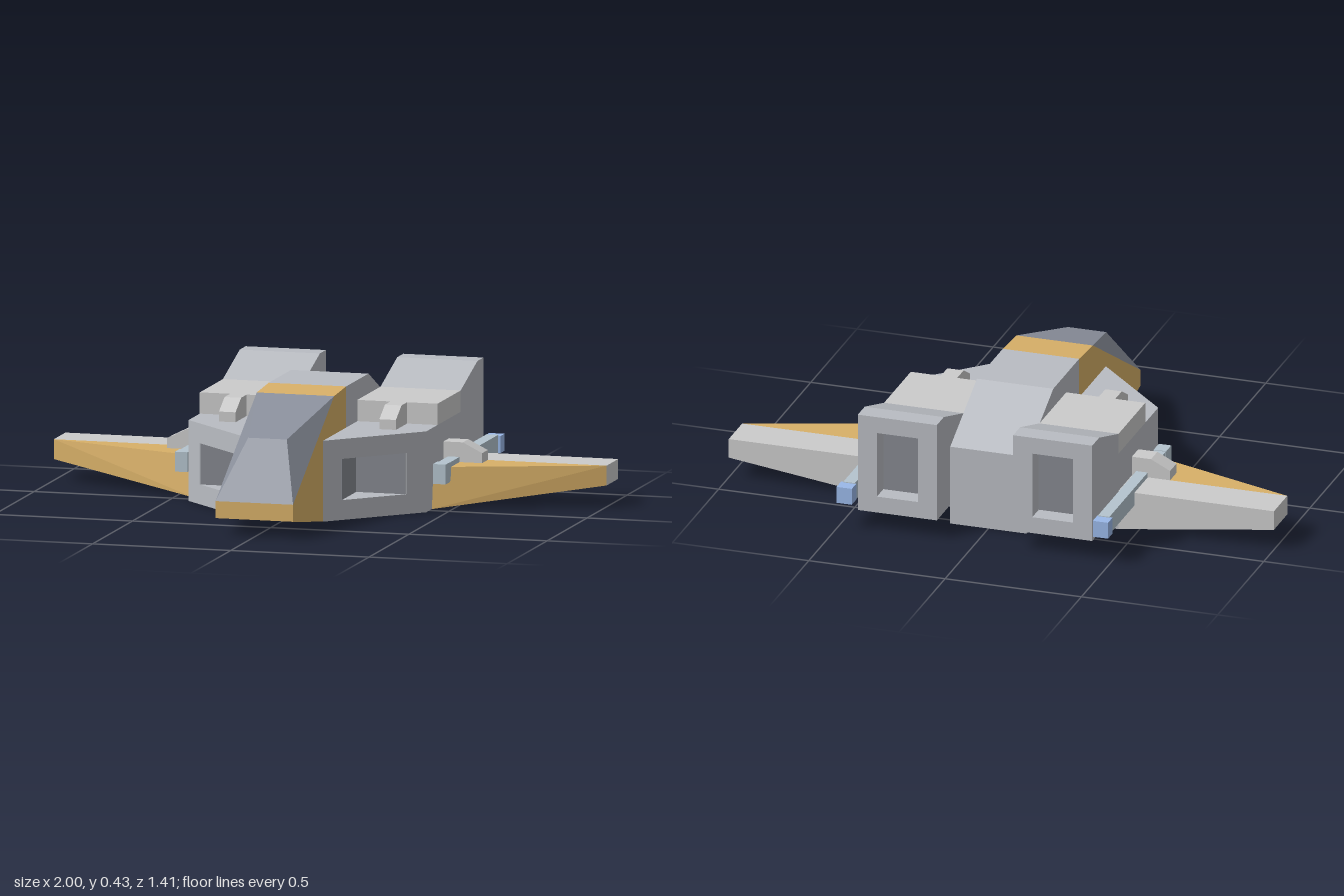
import * as THREE from 'three';
import { ConvexGeometry } from 'three/addons/geometries/ConvexGeometry.js';

const paint = (color) => new THREE.MeshStandardMaterial({ color, flatShading: true });
const grey = paint(0xcccccc);
const steel = paint(0xb9bcc2);
const dark = paint(0x85888f);
const gold = paint(0xd8b068);
const glass = paint(0x8b909c);
const barrelBlue = paint(0xb4c4ce);
const tipBlue = paint(0x9ab8e8);

const shapeOf = (points) => new THREE.Shape(points.map(([a, b]) => new THREE.Vector2(a, b)));
const extrude = (shape, depth) => new THREE.ExtrudeGeometry(shape, { depth, bevelEnabled: false });

// Side profile of [z, y] points, spanning x0 to x1
const sideProfile = (points, x0, x1) =>
  extrude(shapeOf(points), x1 - x0).rotateY(-Math.PI / 2).translate(x1, 0, 0);

// Plan outline of [x, z] points, spanning y0 to y1
const planProfile = (points, y0, y1) =>
  extrude(shapeOf(points.map(([x, z]) => [x, -z])), y1 - y0).rotateX(-Math.PI / 2).translate(0, y0, 0);

// Front outline of [x, y] points, spanning z0 to z1
const frontProfile = (shape, z0, z1) => extrude(shape, z1 - z0).translate(0, 0, z0);

const box = (x0, x1, y0, y1, z0, z1) =>
  new THREE.BoxGeometry(x1 - x0, y1 - y0, z1 - z0)
    .translate((x0 + x1) / 2, (y0 + y1) / 2, (z0 + z1) / 2);

const solid = (points) => new ConvexGeometry(points.map((p) => new THREE.Vector3(...p)));

// Reflected copy across x = 0 with the winding put right
function mirrored(geometry) {
  const copy = geometry.index ? geometry.toNonIndexed() : geometry.clone();
  const p = copy.attributes.position;
  for (let i = 0; i < p.count; i += 3) {
    const a = new THREE.Vector3().fromBufferAttribute(p, i);
    const b = new THREE.Vector3().fromBufferAttribute(p, i + 1);
    const c = new THREE.Vector3().fromBufferAttribute(p, i + 2);
    p.setXYZ(i, -c.x, c.y, c.z);
    p.setXYZ(i + 1, -b.x, b.y, b.z);
    p.setXYZ(i + 2, -a.x, a.y, a.z);
  }
  copy.computeVertexNormals();
  return copy;
}

export function createModel() {
  const model = new THREE.Group();
  model.name = 'spacecraft';

  const add = (name, geometry, material) => {
    const mesh = new THREE.Mesh(geometry, material);
    mesh.name = name;
    model.add(mesh);
  };
  const addPair = (name, geometry, material) => {
    add(`${name}Left`, geometry, material);
    add(`${name}Right`, mirrored(geometry), material);
  };

  // Central fuselage: painted nose and grey tail
  const w = 0.14;
  add('nose', sideProfile([
    [0.04, 0], [0.33, 0], [0.705, 0.06], [0.705, 0.12], [0.19, 0.42], [0.04, 0.43],
  ], -w, w), gold);
  add('fuselage', sideProfile([
    [0.04, 0], [0.04, 0.43], [-0.24, 0.43], [-0.53, 0.29], [-0.53, 0],
  ], -w, w), steel);

  // Faceted canopy, narrowing at its front brow
  add('canopy', solid([-1, 1].flatMap((s) => [
    [s * w, 0.12, 0.705], [s * 0.07, 0.32, 0.54], [s * w, 0.42, 0.19],
  ])), glass);

  // Shoulder blocks with an angled front and a wedge-shaped intake
  const outline = [[w, 0.33], [0.43, 0.04], [0.43, -0.39], [w, -0.39]];
  const notched = [[w, 0.33], [0.19, 0.28], [0.19, 0.095], [0.375, 0.095], ...outline.slice(1)];
  addPair('shoulderBase', planProfile(outline, 0, 0.07), steel);
  addPair('shoulderMiddle', planProfile(notched, 0.07, 0.215), steel);
  addPair('shoulderTop', planProfile(outline, 0.215, 0.285), steel);
  addPair('intakeSideWall', box(0.185, 0.193, 0.07, 0.215, 0.095, 0.275), dark);
  addPair('intakeBackWall', box(0.19, 0.37, 0.07, 0.215, 0.09, 0.098), dark);

  // Raised deck and the short duct running forward from it
  addPair('engineDeck', box(w, 0.43, 0.285, 0.36, -0.39, -0.1), grey);
  addPair('deckDuct', sideProfile([
    [0.04, 0.285], [0.04, 0.32], [-0.03, 0.36], [-0.1, 0.36], [-0.1, 0.285],
  ], 0.26, 0.32), grey);

  // Rear engines, with a recessed rectangular nozzle
  addPair('engine', sideProfile([
    [-0.39, 0.07], [-0.39, 0.36], [-0.6, 0.43], [-0.6, 0.07],
  ], w, 0.43), steel);
  const frame = shapeOf([[w, 0.07], [0.43, 0.07], [0.43, 0.43], [w, 0.43]]);
  frame.holes.push(new THREE.Path(
    [[0.21, 0.13], [0.21, 0.37], [0.36, 0.37], [0.36, 0.13]].map(([x, y]) => new THREE.Vector2(x, y))));
  addPair('nozzleFrame', frontProfile(frame, -0.675, -0.6), steel);
  addPair('nozzleBack', box(0.21, 0.36, 0.13, 0.37, -0.605, -0.595), dark);

  // Wings: painted leading triangle and grey trailing panel
  const rootX = 0.43;
  const seamBottom = 0;
  addPair('wingLeadingEdge', solid([
    [rootX, 0, -0.03], [rootX, 0.145, -0.05],
    [rootX, seamBottom, -0.245], [rootX, 0.145, -0.245],
    [1, 0.075, -0.245], [1, 0.145, -0.245],
  ]), gold);
  addPair('wingPanel', frontProfile(shapeOf([
    [rootX, 0], [1, 0.075], [1, 0.145], [rootX, 0.145],
  ]), -0.39, -0.245), grey);

  // Cannons alongside the engines, held by chamfered brackets
  addPair('cannonFront', box(0.444, 0.49, 0.095, 0.165, -0.05, 0.005), barrelBlue);
  addPair('cannonBarrel', box(0.446, 0.488, 0.097, 0.163, -0.66, -0.05), barrelBlue);
  addPair('cannonTip', box(0.442, 0.498, 0.1, 0.16, -0.705, -0.655), tipBlue);
  addPair('cannonBracket', frontProfile(shapeOf([
    [0.42, 0.14], [0.57, 0.14], [0.57, 0.18], [0.5, 0.215], [0.42, 0.215],
  ]), -0.245, -0.175), grey);

  return model;
}
